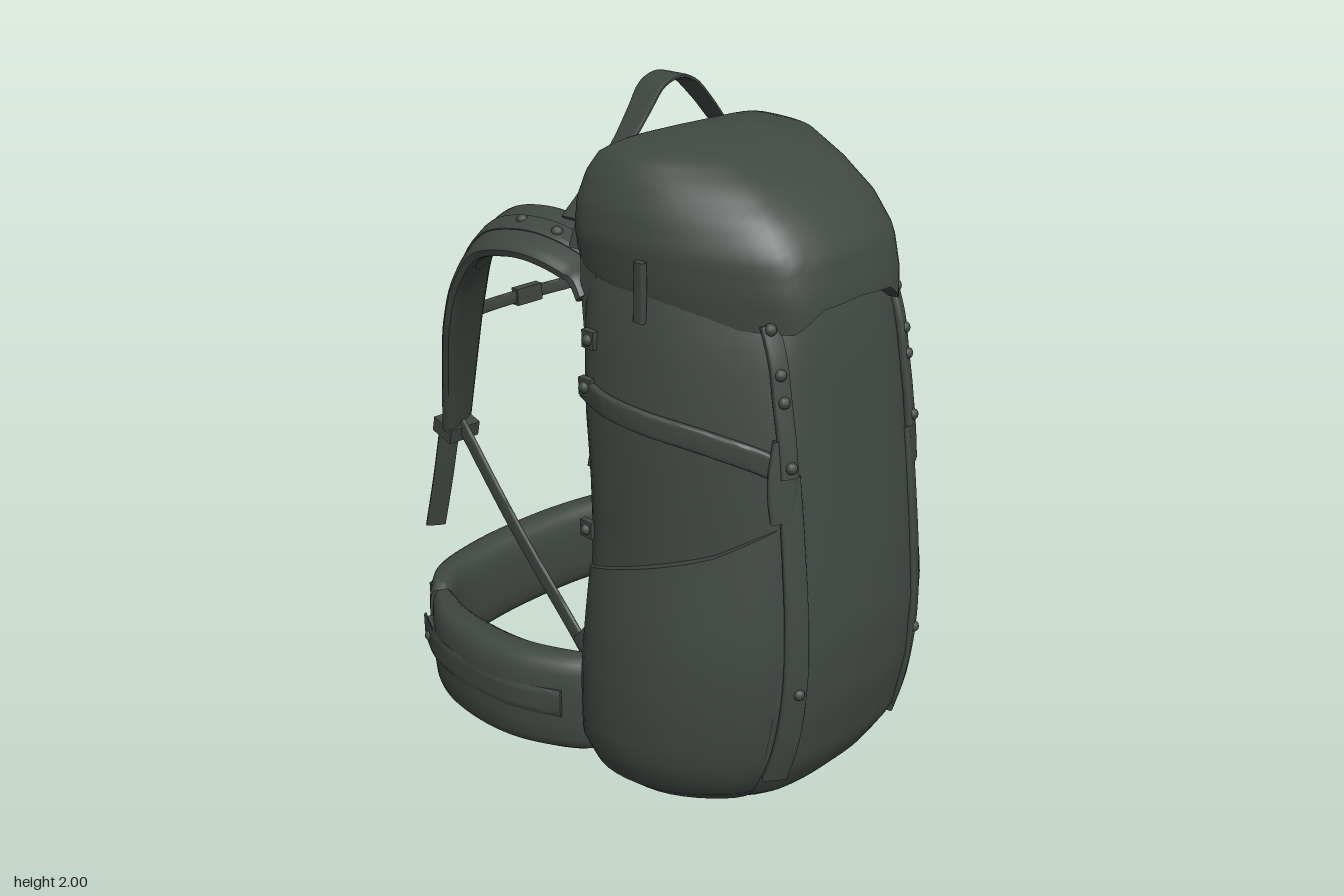
import * as THREE from 'three';
import { toCreasedNormals } from 'three/addons/utils/BufferGeometryUtils.js';

const fabric = new THREE.MeshStandardMaterial({ color: 0x404742, side: THREE.DoubleSide });
fabric.name = 'dark grey fabric';
const V = (x, y, z) => new THREE.Vector3(x, y, z);
const lerp = THREE.MathUtils.lerp;

// Skin a list of point rows; closed rows wrap round and get end caps
function skin(rows, closed = true) {
  const pos = [], idx = [], m = rows[0].length;
  rows.forEach(r => r.forEach(p => pos.push(p.x, p.y, p.z)));
  for (let i = 0; i < rows.length - 1; i++)
    for (let j = 0; j < (closed ? m : m - 1); j++) {
      const a = i * m + j, b = i * m + (j + 1) % m;
      idx.push(a, b, b + m, a, b + m, a + m);
    }
  if (closed) [0, rows.length - 1].forEach(i => {
    const c = rows[i].reduce((s, p) => s.add(p), V(0, 0, 0)).divideScalar(m);
    const k = pos.length / 3;
    pos.push(c.x, c.y, c.z);
    for (let j = 0; j < m; j++) {
      const a = i * m + j, b = i * m + (j + 1) % m;
      idx.push(k, ...(i ? [a, b] : [b, a]));
    }
  });
  const g = new THREE.BufferGeometry();
  g.setAttribute('position', new THREE.Float32BufferAttribute(pos, 3));
  g.setIndex(idx);
  return toCreasedNormals(g, 0.8);
}

// Strap or pad swept along points; size(t) scales its width, slim(t) its thickness, shift moves it along its normal
function ribbon(pts, across, width, thick, { n = 28, size = () => 1, slim = () => 1, shift = 0, square = 0.4 } = {}) {
  const curve = new THREE.CatmullRomCurve3(pts.map(p => V(...p)));
  const pw = v => Math.sign(v) * Math.pow(Math.abs(v), square);
  const rows = [];
  for (let i = 0; i <= n; i++) {
    const t = i / n, T = curve.getTangent(t), A = V(...across);
    A.addScaledVector(T, -A.dot(T)).normalize();
    const N = T.clone().cross(A), row = [];
    for (let j = 0; j < 16; j++) {
      const a = (j + 0.5) / 16 * Math.PI * 2;
      row.push(curve.getPoint(t).addScaledVector(A, pw(Math.cos(a)) * width * size(t) / 2)
        .addScaledVector(N, shift + pw(Math.sin(a)) * thick * slim(t) / 2));
    }
    rows.push(row);
  }
  return skin(rows);
}
const padEnds = t => 0.85 + 0.15 * Math.sqrt(Math.max(0, 1 - Math.abs(2 * t - 1) ** 10));
const crescent = t => 0.5 + 0.5 * Math.sin(Math.PI * t) ** 0.7;

// Horizontal outline of the pack: front centre, round the left side, to the back
const half = [[0, 1], [.33, .985], [.54, .93], [.76, .74], [.94, .48], [1, .2], [.95, .02], [.5, 0], [0, 0]];
const outline = new THREE.CatmullRomCurve3(
  [...half, ...half.slice(1, -1).reverse().map(([x, z]) => [-x, z])].map(([x, z]) => V(x, 0, z)), true);
const SEG = 64;
const unit = Array.from({ length: SEG }, (_, i) => outline.getPoint(i / SEG));

// Height, half width, back z, front z
const bodyTable = [[0, .32, .15, .52], [.03, .39, .14, .59], [.09, .45, .13, .66], [.2, .495, .12, .725],
  [.4, .495, .12, .765], [.6, .485, .13, .772], [.8, .465, .13, .755], [1, .46, .12, .73],
  [1.2, .455, .10, .70], [1.4, .43, .08, .67], [1.55, .395, .06, .63], [1.7, .34, .08, .5]];
const lidTable = [[1.45, .385, .06, .695], [1.55, .402, .04, .685], [1.65, .41, .025, .655], [1.73, .395, .02, .59],
  [1.8, .365, .03, .495], [1.85, .33, .05, .395], [1.875, .25, .08, .32], [1.893, .12, .13, .24]];

function at(table, y, i) {
  let k = 1;
  while (k < table.length - 1 && y > table[k][0]) k++;
  const a = table[k - 1], b = table[k];
  const f = THREE.MathUtils.clamp((y - a[0]) / (b[0] - a[0]), 0, 1);
  const [w, zb, zf] = [1, 2, 3].map(c => lerp(a[c], b[c], f));
  return V(unit[i].x * w, y, lerp(zb, zf, unit[i].z));
}
// Surface lookups used to lay straps on the body
function frontZ(x, y) {
  let i = 0;
  while (i < 16 && at(bodyTable, y, i + 1).x < x) i++;
  const a = at(bodyTable, y, i), b = at(bodyTable, y, i + 1);
  return lerp(a.z, b.z, (x - a.x) / (b.x - a.x));
}
function sideX(z, y) {
  let i = 4;
  while (i < 26 && at(bodyTable, y, i + 1).z > z) i++;
  const a = at(bodyTable, y, i), b = at(bodyTable, y, i + 1);
  return lerp(a.x, b.x, (z - a.z) / (b.z - a.z));
}

export function createModel() {
  const group = new THREE.Group();
  const add = (name, geo, p = [0, 0, 0], ry = 0) => {
    const m = new THREE.Mesh(geo, fabric);
    m.name = name;
    m.position.set(...p);
    m.rotation.y = ry;
    group.add(m);
    return m;
  };
  const studGeo = new THREE.SphereGeometry(0.017, 10, 8);
  const stud = (...p) => add('stud', studGeo, p);

  // Main body
  const bodyRows = [];
  for (let r = 0; r <= 36; r++) bodyRows.push(unit.map((_, i) => at(bodyTable, 1.7 * (r / 36) ** 1.5, i)));
  add('body', skin(bodyRows));

  // Lid with a wavy lower edge
  const edge = [1.53, 1.52, 1.465, 1.47, 1.50, 1.535, 1.57, 1.6, 1.6];
  const edgeY = i => {
    const h = Math.min(i, SEG - i) / 4, k = Math.min(7, Math.floor(h));
    return lerp(edge[k], edge[k + 1], h - k);
  };
  const lidRows = [];
  for (let r = 0; r <= 20; r++)
    lidRows.push(unit.map((_, i) => at(lidTable, lerp(edgeY(i), 1.893, 1 - (1 - r / 20) ** 1.4), i)));
  add('lid', skin(lidRows));

  // Padded back panel and the flap below the lid
  add('backPanel', ribbon([[0, .04, .175], [0, .12, .16], [0, .4, .155], [0, .8, .16], [0, 1.2, .12], [0, 1.5, .095], [0, 1.66, .09]],
    [1, 0, 0], .8, .13, { size: t => padEnds(t) - .12 * Math.max(0, 1 - t * 10), square: .45 }));
  const flap = new THREE.Shape([[-.38, 1.6], [.38, 1.6], [.35, 1.67], [.25, 1.75], [-.25, 1.75], [-.35, 1.67]]
    .map(p => new THREE.Vector2(...p)));
  add('backFlap', new THREE.ExtrudeGeometry(flap, { depth: .03, bevelSize: .008, bevelThickness: .008, bevelSegments: 2 }), [0, 0, .014]);

  // Carry handle, its ends spreading out across the back of the lid
  const handleHalf = [[.385, 1.67, .015], [.28, 1.755, .01], [.19, 1.835, .005], [.12, 1.915, 0], [.06, 1.975, -.01]];
  add('handle', ribbon([...handleHalf, [0, 1.994, -.01], ...handleHalf.map(([x, y, z]) => [-x, y, z]).reverse()],
    [0, 0, 1], .065, .012, { n: 40, size: t => 1 + .55 * Math.sin(Math.PI * t) ** 3 }));

  for (const s of [1, -1]) {
    stud(s * .28, 1.765, .01);

    // Bulging side pocket with a sloping lip
    const rows = [], bulge = s > 0 ? .072 : .055;
    for (let r = 0; r <= 14; r++) {
      const row = [], v = Math.min(1, r / 13);
      for (let i = 9; i <= 24; i++) {
        const z = at(bodyTable, .8, i).z;
        const top = z > .55 ? lerp(.87, .95, (z - .55) / .13) : lerp(.74, .87, (z - .2) / .35);
        const p = at(bodyTable, lerp(.04, top, v), i);
        const out = V(p.x, 0, (p.z - .3) * .8).normalize();
        const amount = bulge * Math.sin(Math.PI * (i - 9) / 15) ** .7 * Math.sin(Math.PI * (.1 + .82 * v)) ** .6;
        p.addScaledVector(out, r > 13 ? -.01 : amount + .003);
        p.x *= s;
        row.push(p);
      }
      rows.push(s > 0 ? row : row.reverse());
    }
    add('sidePocket', skin(rows, false));

    // Front webbing, lid strap and pointed pull tab
    const frontPath = (ys, x0, x1, lift) => ys.map((y, k) => {
      const x = lerp(x0, x1, k / (ys.length - 1));
      return [s * x, y, frontZ(x, y) + lift];
    });
    const tilt = [1, 0, -s * .5];
    add('frontStrap', ribbon(frontPath([.18, .3, .5, .7, .9, 1.1], .262, .245, .005), tilt, .06, .02,
      { size: t => 1.25 - .25 * t }));
    add('lidStrap', ribbon(frontPath([1.1, 1.2, 1.3, 1.4, 1.49], .25, .245, .014), tilt, .05, .022));
    add('pullTab', ribbon(frontPath([.98, 1.05, 1.12, 1.2], .275, .255, .014), tilt, .08, .02,
      { size: t => .7 + .3 * Math.sin(Math.PI * t) }));
    for (const y of [.48, 1.13, 1.3, 1.37, 1.48]) stud(s * .25, y, frontZ(.25, y) + (y < 1 ? .012 : .024));

    // Side compression band, lid tab and side studs
    add('sideBand', ribbon([[.67, 1.115], [.62, 1.145], [.5, 1.185], [.35, 1.21], [.22, 1.225], [.11, 1.24]]
      .map(([z, y]) => [s * (sideX(z, y) + .008), y, z]), [0, 1, 0], .065, .022));
    add('lidTab', ribbon([[s * .405, 1.46, .3], [s * .403, 1.54, .3], [s * .403, 1.62, .3]], [0, 0, 1], .035, .02));
    for (const y of [.83, 1.25, 1.38]) {
      add('sideAnchor', new THREE.BoxGeometry(.02, .05, .045), [s * (sideX(.16, y) + .004), y, .14]);
      stud(s * (sideX(.16, y) + .012), y, .14);
    }

    // Shoulder strap rolled outwards, with webbing on its outer face
    const path = [[.295, 1.46, .06], [.295, 1.525, 0], [.325, 1.572, -.1], [.35, 1.583, -.21], [.36, 1.545, -.35],
      [.36, 1.435, -.45], [.35, 1.28, -.52], [.33, 1.06, -.59], [.32, .87, -.635]].map(([x, y, z]) => [s * x, y, z]);
    const roll = [1, -s * .33, s * .42];
    add('shoulderStrap', ribbon(path, roll, .235, .05,
      { n: 44, square: .6, size: t => t > .75 ? lerp(1, .6, (t - .75) * 4) : 1 }));
    add('shoulderWebbing', ribbon(path, roll, .07, .014, { n: 44, shift: -.024 }));
    stud(s * .335, 1.6, -.1);
    stud(s * .35, 1.61, -.23);
    add('strapBuckle', new THREE.BoxGeometry(.11, .05, .09), [s * .325, .855, -.635]).rotation.x = .25;
    add('strapTail', ribbon([[s * .335, .87, -.65], [s * .34, .65, -.705], [s * .345, .47, -.755]],
      [1, 0, -s * .4], .065, .014));
    add('lowerStrap', ribbon([[s * .4, .36, .06], [s * .4, .42, 0], [s * .37, .64, -.3], [s * .33, .875, -.6]],
      [0, .8, .6], .05, .014));
    add('strapWing', ribbon([[s * .405, .56, .15], [s * .41, .46, .1], [s * .41, .38, .05]],
      [0, .5, .6], .09, .02, { size: t => .4 + .6 * t }));

    // Hip belt side pad, its webbing and plate
    const belt = [[.40, .12], [.46, .04], [.525, -.1], [.548, -.26], [.535, -.42], [.482, -.55]];
    add('hipPad', ribbon(belt.map(([x, z]) => [s * x, .225, z]), [0, 1, 0], .32, .128,
      { size: padEnds, slim: crescent, square: .6 }));
    add('hipWebbing', ribbon(belt.slice(1).map(([x, z]) => [s * x, .245, z]), [0, 1, 0], .09, .02,
      { shift: s * .056, slim: t => 1 - .5 * t }));
    for (const [x, z, a] of [[.553, -.5, .4], [.38, -.71, 1.15]]) {
      add('beltPlate', new THREE.BoxGeometry(.025, .095, .075), [s * x, .25, z], s * a);
      stud(s * (x + .014 * Math.cos(a)), .25, z - .014 * Math.sin(a));
    }
  }

  // Front section of the hip belt
  const front = [[.485, -.56], [.38, -.645], [.2, -.69], [0, -.703], [-.2, -.69], [-.38, -.645], [-.485, -.56]];
  add('hipBeltFront', ribbon(front.map(([x, z]) => [x, .23, z]), [0, 1, 0], .3, .13,
    { n: 36, size: padEnds, slim: crescent, square: .6 }));
  add('frontWebbing', ribbon(front.slice(1, -1).map(([x, z]) => [x, .245, z]), [0, 1, 0], .09, .016, { n: 36, shift: .058 }));

  // Chest strap between the shoulder straps
  add('chestStrap', ribbon([[.35, 1.23, -.56], [.22, 1.215, -.635], [0, 1.21, -.66], [-.22, 1.215, -.635], [-.35, 1.23, -.56]],
    [0, 1, 0], .04, .016));
  add('chestBuckle', new THREE.BoxGeometry(.1, .055, .03), [0, 1.21, -.66]);

  return group;
}
